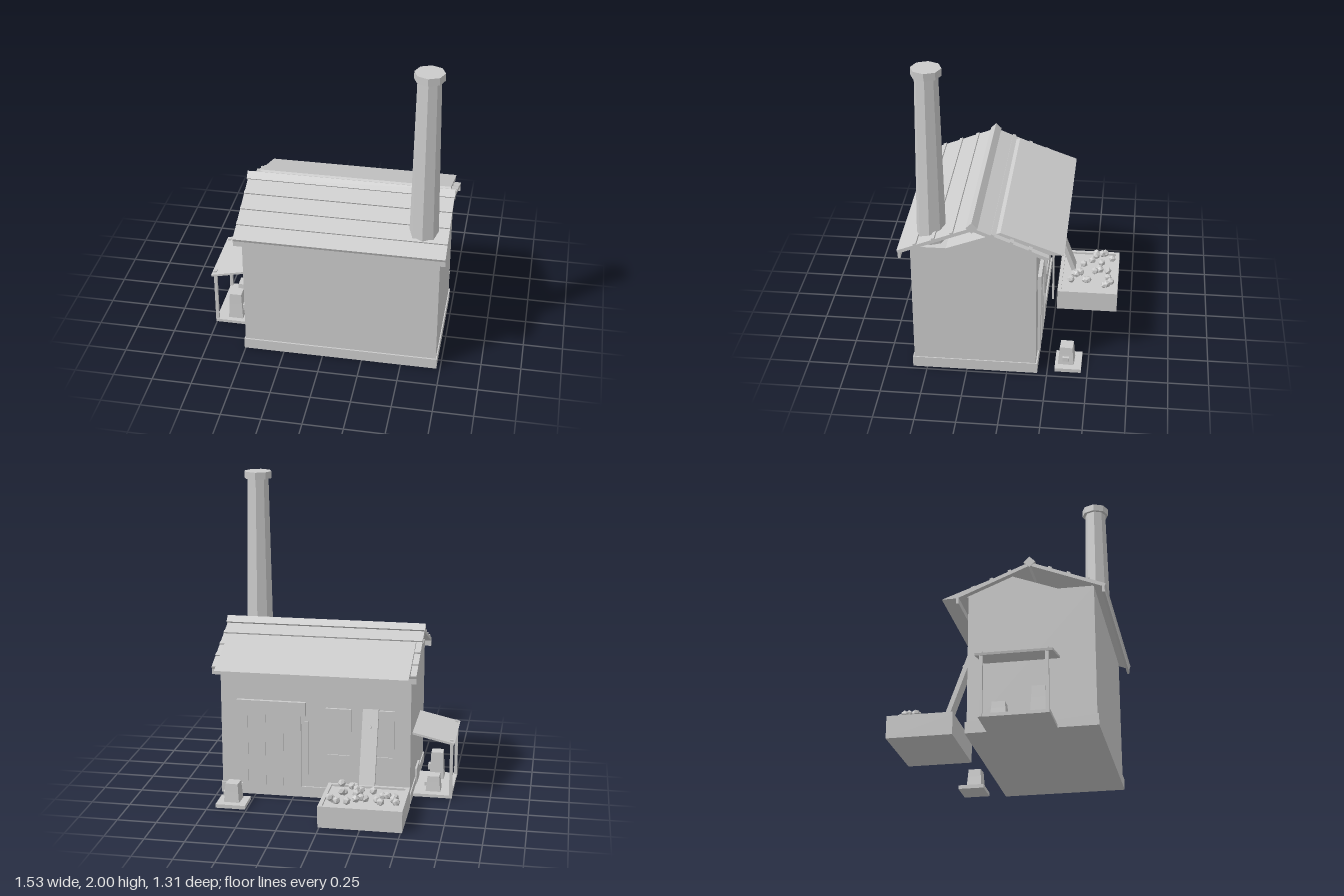
import * as THREE from 'three';

const grey = new THREE.MeshStandardMaterial({ color: 0xcccccc, flatShading: true });

export function createModel() {
  const model = new THREE.Group();

  const add = (name, geo, parent = model) => {
    const m = new THREE.Mesh(geo, grey);
    m.name = name;
    parent.add(m);
    return m;
  };
  // Box given by its limits on each axis
  const block = (name, [x0, x1], [y0, y1], [z0, z1], parent) => {
    const m = add(name, new THREE.BoxGeometry(x1 - x0, y1 - y0, z1 - z0), parent);
    m.position.set((x0 + x1) / 2, (y0 + y1) / 2, (z0 + z1) / 2);
    return m;
  };
  // Four-sided tapered body standing at y0
  const tapered = (name, w, h, d, x, y0, z, top, parent) => {
    const g = new THREE.BoxGeometry(w, h, d);
    const p = g.attributes.position;
    for (let i = 0; i < p.count; i++) {
      if (p.getY(i) > 0) p.setXYZ(i, p.getX(i) * top, p.getY(i), p.getZ(i) * top);
    }
    const m = add(name, g, parent);
    m.position.set(x, y0 + h / 2, z);
    return m;
  };

  // Walls and plinth
  block('walls', [-0.5, 0.72], [0, 0.877], [-0.18, 0.58]);
  block('plinth', [-0.507, 0.727], [0, 0.07], [-0.19, 0.59]);

  // Main roof: two mirrored slopes with battens and an eaves board
  const roof = new THREE.Group();
  roof.name = 'mainRoof';
  roof.position.set(0.11, 1.05, 0.2);
  model.add(roof);
  const run = 0.455, drop = 0.183;
  const length = Math.hypot(run, drop), pitch = Math.atan2(drop, run);
  for (const side of [1, -1]) {
    const slope = new THREE.Group();
    slope.name = side > 0 ? 'frontSlope' : 'rearSlope';
    slope.rotation.y = side > 0 ? 0 : Math.PI;
    roof.add(slope);
    const tilt = new THREE.Group();
    tilt.name = 'roofSlope';
    tilt.rotation.x = pitch;
    slope.add(tilt);
    block('roofSlab', [-0.648, 0.648], [-0.022, 0], [0, length], tilt);
    for (const z of [0.12, 0.24, 0.36]) {
      block('roofBatten', [-0.648, 0.648], [-0.005, 0.009], [z, z + 0.022], tilt);
    }
    block('eavesBoard', [-0.648, 0.648], [-0.235, -0.19], [0.432, 0.448], slope);
  }
  const ridge = add('ridgeCap', new THREE.BoxGeometry(1.305, 0.05, 0.05), roof);
  ridge.rotation.x = Math.PI / 4;

  // Inner gable prism whose rear slope covers the back of the roof
  const tri = new THREE.Shape([[0.39, 0.867], [0.035, 1.003], [-0.345, 0.867]]
    .map(([z, y]) => new THREE.Vector2(-z, y)));
  const gable = add('gableRoof', new THREE.ExtrudeGeometry(tri, { depth: 1.22, bevelEnabled: false }));
  gable.rotation.y = Math.PI / 2;
  gable.position.x = -0.5;

  // Chimney
  const shaft = add('chimneyShaft', new THREE.CylinderGeometry(0.07, 0.09, 1.1, 8));
  shaft.position.set(0.605, 1.42, 0.465);
  const cap = add('chimneyCap', new THREE.CylinderGeometry(0.09, 0.09, 0.046, 8));
  cap.position.set(0.605, 1.977, 0.465);

  // Rear door with lintel, planks and hanging bar
  block('door', [0.2, 0.585], [0.07, 0.55], [-0.192, -0.17]);
  for (const x of [0.2, 0.315, 0.43, 0.545]) {
    block('doorPlank', [x, x + 0.04], [0.07, 0.55], [-0.198, -0.17]);
  }
  block('doorLintel', [0.17, 0.615], [0.55, 0.64], [-0.203, -0.17]);
  block('doorBar', [0.14, 0.165], [0.18, 0.535], [-0.25, -0.238]);

  // Rear windows: frame with a pane set back
  for (const x of [-0.125, -0.4]) {
    block('windowPane', [x + 0.01, x + 0.155], [0.3, 0.6], [-0.189, -0.17]);
    for (const dx of [0, 0.153]) {
      block('windowJamb', [x + dx, x + dx + 0.012], [0.29, 0.61], [-0.197, -0.17]);
    }
    for (const y of [0.29, 0.598]) {
      block('windowRail', [x, x + 0.165], [y, y + 0.012], [-0.197, -0.17]);
    }
  }

  // Coal bin: floor, rim boards and lumps
  const bin = new THREE.Group();
  bin.name = 'coalBin';
  model.add(bin);
  block('binBody', [-0.51, 0.01], [0, 0.125], [-0.658, -0.262], bin);
  for (const x of [-0.51, -0.015]) block('binSide', [x, x + 0.025], [0.1, 0.138], [-0.658, -0.262], bin);
  for (const z of [-0.658, -0.285]) block('binEnd', [-0.51, 0.01], [0.1, 0.138], [z, z + 0.023], bin);
  const lumps = [
    [-0.46, -0.56], [-0.44, -0.54], [-0.37, -0.61], [-0.34, -0.54], [-0.445, -0.5], [-0.4, -0.5],
    [-0.365, -0.475], [-0.3, -0.42], [-0.215, -0.585], [-0.16, -0.59], [-0.1, -0.61], [-0.053, -0.585],
    [-0.265, -0.53], [-0.24, -0.535], [-0.205, -0.5], [-0.22, -0.4], [-0.195, -0.405], [-0.16, -0.38],
    [-0.12, -0.44], [-0.107, -0.457], [-0.09, -0.345], [-0.067, -0.57], [-0.18, -0.365]];
  lumps.forEach(([x, z], i) => {
    const lump = add('coalLump', new THREE.IcosahedronGeometry(0.026, 0), bin);
    lump.position.set(x, 0.158 + 0.008 * (i % 3), z);
    lump.rotation.set(i * 1.3, i * 0.7, i * 2.1);
  });

  // Chute board leaning from the wall into the bin
  const chute = block('chute', [-0.3, -0.2], [0.16, 0.635], [-0.29, -0.262]);
  chute.rotation.x = Math.atan2(0.155, 0.43);
  const peg = add('chutePeg', new THREE.CylinderGeometry(0.012, 0.012, 0.03, 6));
  peg.position.set(-0.25, 0.52, -0.25);
  peg.rotation.x = -Math.PI / 2 + 0.35;

  // Canopy at the end wall
  const canopy = new THREE.Group();
  canopy.name = 'canopy';
  model.add(canopy);
  const sheet = add('canopyRoof', new THREE.BoxGeometry(0.275, 0.014, 0.45), canopy);
  sheet.position.set(-0.633, 0.405, 0.145);
  sheet.rotation.z = Math.atan2(0.06, 0.265);
  for (const z of [-0.045, 0.335]) {
    block('canopyPost', [-0.758, -0.738], [0, 0.397], [z - 0.01, z + 0.01], canopy);
  }
  block('canopyFloor', [-0.755, -0.5], [0, 0.02], [-0.06, 0.35], canopy);
  block('wallPanel', [-0.512, -0.49], [0.02, 0.13], [0.1, 0.26], canopy);

  // Tapered containers with a side spout
  const container = (x, y, z, w, h) => {
    const g = new THREE.Group();
    g.name = 'container';
    g.position.set(x, y, z);
    model.add(g);
    tapered('containerBody', w, h * 0.6, w, 0, 0, 0, 0.87, g);
    tapered('containerTop', w * 0.87, h * 0.4, w * 0.87, 0, h * 0.6, 0, 0.92, g);
    block('containerSpout', [w * 0.35, w * 0.62], [h * 0.28, h * 0.5], [-0.02, 0.02], g);
    return g;
  };
  container(-0.63, 0.02, 0.27, 0.095, 0.18);
  container(-0.63, 0.02, 0.04, 0.095, 0.1);
  container(0.605, 0.02, -0.365, 0.1, 0.125).rotation.y = -0.05;
  block('containerStand', [0.51, 0.7], [0, 0.024], [-0.46, -0.295]);

  return model;
}
